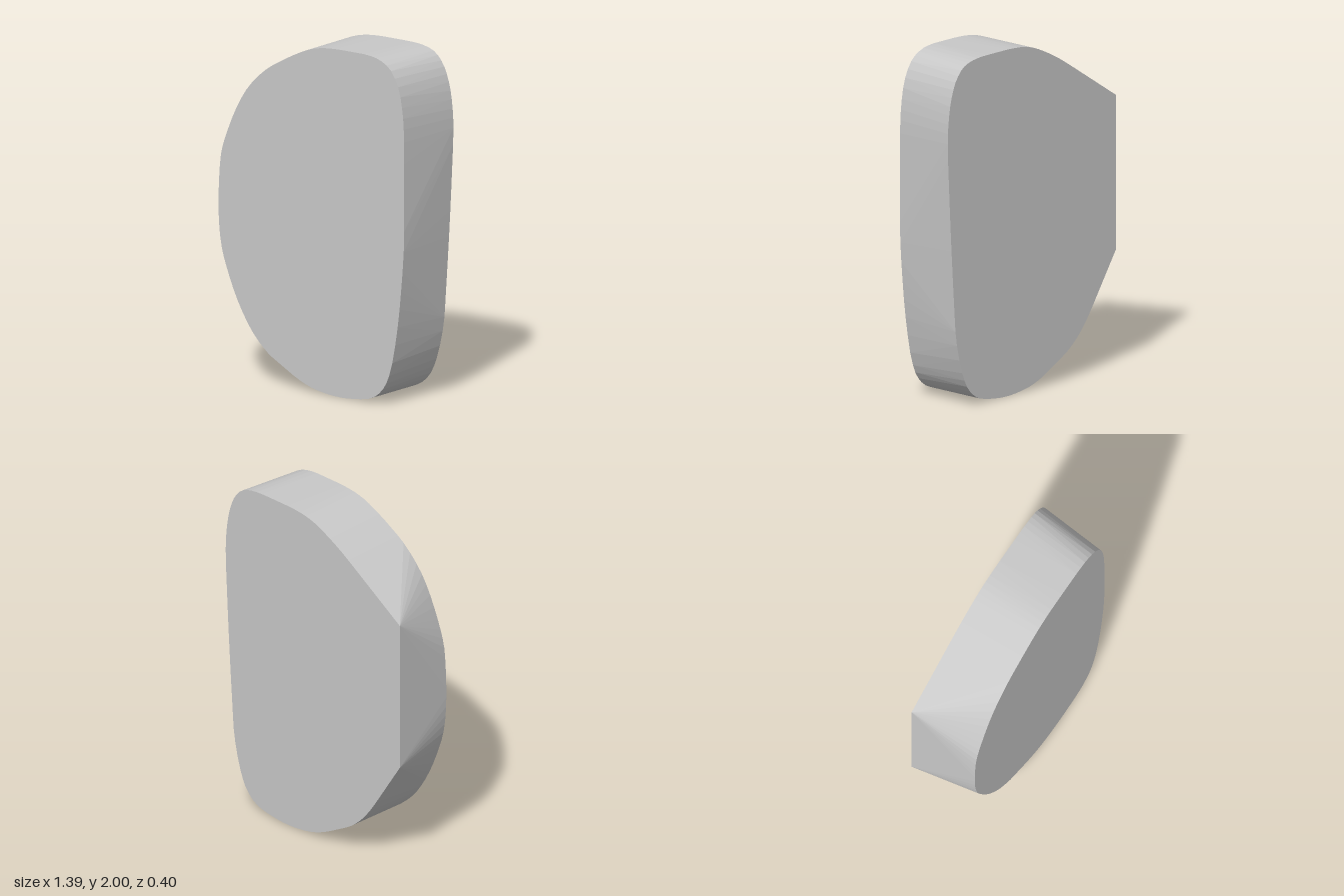
import * as THREE from 'three';
import { ConvexGeometry } from 'three/addons/geometries/ConvexGeometry.js';

// Smooth outline through [x, y] points, placed at depth z
function outline(points, z, samples) {
  const curve = new THREE.CatmullRomCurve3(points.map(([x, y]) => new THREE.Vector3(x, y, z)));
  return curve.getPoints(samples).map((p) => new THREE.Vector3(p.x, THREE.MathUtils.clamp(p.y, 0, 2), z));
}

export function createModel() {
  const model = new THREE.Group();
  const grey = new THREE.MeshStandardMaterial({ color: 0xc8c8c8 });
  grey.name = 'light grey';

  // Lower and upper runs shared by both faces
  const lower = [[-0.3, 0.17], [-0.2, 0.115], [-0.1, 0.062], [0, 0.025], [0.1, 0.007], [0.2, 0], [0.3, 0.006]];
  const upper = [[0.2, 2], [0.08, 1.992], [-0.01, 1.972], [-0.1, 1.935], [-0.22, 1.873], [-0.33, 1.805]];

  // Front face: rounded all the way
  const front = [
    ...lower, [0.42, 0.028], [0.5, 0.09], [0.55, 0.19], [0.6, 0.43], [0.63, 0.68], [0.65, 0.95],
    [0.65, 1.25], [0.65, 1.55], [0.64, 1.7], [0.61, 1.84], [0.55, 1.94], [0.47, 1.985], [0.37, 2],
    ...upper, [-0.45, 1.69], [-0.53, 1.565], [-0.6, 1.41], [-0.64, 1.29], [-0.655, 1.15],
    [-0.66, 1], [-0.655, 0.86], [-0.635, 0.73], [-0.595, 0.61], [-0.53, 0.46], [-0.45, 0.325], [-0.38, 0.24], [-0.3, 0.17],
  ];

  // Back face: rounded on one side, cut straight on the other
  const back = [
    [-0.51, 0.4], [-0.45, 0.315], [-0.38, 0.235], ...lower, [0.44, 0.035], [0.52, 0.1], [0.57, 0.2],
    [0.62, 0.4], [0.637, 0.6], [0.661, 0.95], [0.68, 1.3], [0.69, 1.55], [0.682, 1.68],
    [0.66, 1.8], [0.62, 1.9], [0.56, 1.965], [0.48, 1.992], [0.38, 2], ...upper,
  ];
  const corners = [[-0.695, 1.57], [-0.695, 0.68]].map(([x, y]) => new THREE.Vector3(x, y, -0.2));

  // Solid slab stretched between the two faces
  const slab = new THREE.Mesh(
    new ConvexGeometry([...outline(front, 0.2, 90), ...outline(back, -0.2, 70), ...corners]),
    grey,
  );
  slab.name = 'roundedSlab';
  model.add(slab);
  return model;
}
